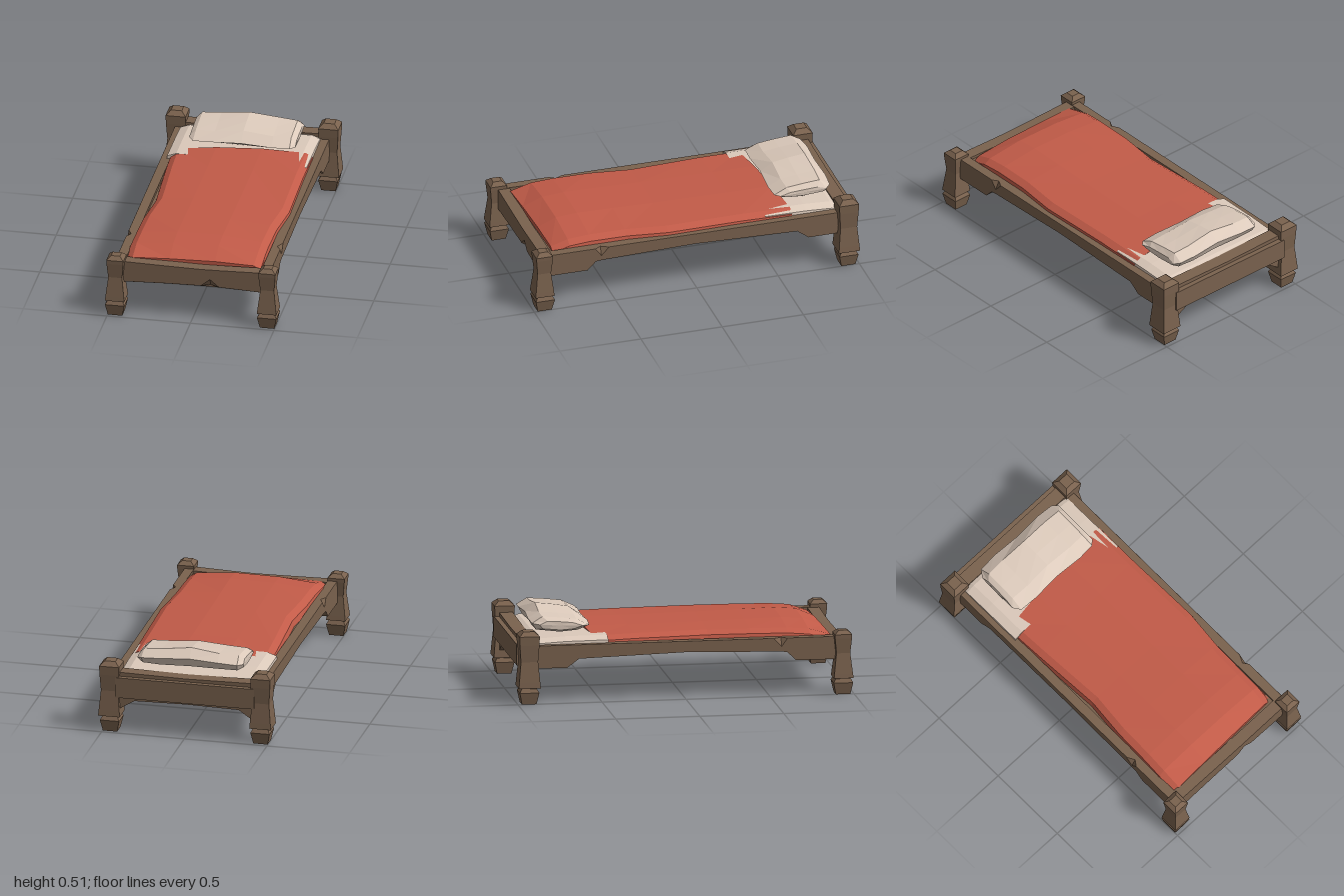
import * as THREE from 'three';

const wood = new THREE.MeshStandardMaterial({ color: 0x7a624e });
wood.name = 'brown wood';
const red = new THREE.MeshStandardMaterial({ color: 0xc25b48 });
red.name = 'red cloth';
const cream = new THREE.MeshStandardMaterial({ color: 0xdccabb });
cream.name = 'cream linen';

// Faceted solid through a list of equal-length rings of [x, y, z], capped at both ends
function loft(name, material, rings) {
  const n = rings[0].length;
  const tris = [];
  for (let i = 0; i < rings.length - 1; i++) {
    for (let j = 0; j < n; j++) {
      const k = (j + 1) % n;
      const [a, b, c, d] = [rings[i][j], rings[i][k], rings[i + 1][k], rings[i + 1][j]];
      tris.push([a, b, c], [a, c, d]);
    }
  }
  const cap = (ring, flip) => {
    const mid = [0, 1, 2].map((q) => ring.reduce((s, p) => s + p[q], 0) / n);
    for (let j = 0; j < n; j++) {
      const k = (j + 1) % n;
      tris.push(flip ? [mid, ring[k], ring[j]] : [mid, ring[j], ring[k]]);
    }
  };
  cap(rings[0], true);
  cap(rings[rings.length - 1], false);
  // Turn the whole solid outward if its signed volume is negative
  const vec = (p) => new THREE.Vector3(...p);
  const volume = tris.reduce((s, [a, b, c]) => s + vec(a).dot(vec(b).cross(vec(c))), 0);
  if (volume < 0) tris.forEach((t) => t.reverse());
  const geometry = new THREE.BufferGeometry();
  geometry.setAttribute('position', new THREE.Float32BufferAttribute(tris.flat(2), 3));
  geometry.computeVertexNormals();
  const mesh = new THREE.Mesh(geometry, material);
  mesh.name = name;
  return mesh;
}

// Square turned piece from [half width, y] steps
function squarePiece(name, x, z, steps) {
  return loft(name, wood, steps.map(([h, y]) => [
    [x - h, y, z - h], [x + h, y, z - h], [x + h, y, z + h], [x - h, y, z + h],
  ]));
}

function box(name, material, x0, x1, y0, y1, z0, z1) {
  const g = new THREE.BoxGeometry(x1 - x0, y1 - y0, z1 - z0);
  const mesh = new THREE.Mesh(g, material);
  mesh.position.set((x0 + x1) / 2, (y0 + y1) / 2, (z0 + z1) / 2);
  mesh.name = name;
  return mesh;
}

export function createModel() {
  const bed = new THREE.Group();
  bed.name = 'bed';

  // Posts with pyramid caps, standing on flared feet
  const foot = [[0.043, 0.005], [0.058, 0.075], [0.045, 0.098], [0.03, 0.105]];
  const frontPost = [[0.058, 0.102], [0.055, 0.13], [0.041, 0.25], [0.05, 0.34], [0.051, 0.363], [0.026, 0.385]];
  const backPost = [[0.065, 0.104], [0.062, 0.14], [0.051, 0.26], [0.058, 0.36], [0.06, 0.413], [0.032, 0.439]];
  for (const s of [-1, 1]) {
    bed.add(squarePiece('frontPost', s * 0.455, 0.937, frontPost));
    bed.add(squarePiece('frontFoot', s * 0.455, 0.935, foot));
    bed.add(squarePiece('backPost', s * 0.457, -0.933, backPost));
    bed.add(squarePiece('backFoot', s * 0.455, -0.933, foot));
  }

  // Side rails and base share one arched underside: [z, bottom y, top chip]
  const arch = [[-0.9, 0.21, 0], [-0.7, 0.21, 0], [-0.63, 0.262, 0], [0, 0.28, 0], [0.53, 0.266, 0],
    [0.575, 0.265, 0.03], [0.61, 0.26, 0], [0.66, 0.21, 0], [0.91, 0.21, 0]];
  for (const s of [-1, 1]) {
    bed.add(loft('sideRail', wood, arch.map(([z, y, chip]) => [
      [s * 0.405, y, z], [s * 0.462, y, z], [s * 0.462, 0.343 - 1.6 * chip, z],
      [s * (0.461 - 0.8 * chip), 0.345, z], [s * 0.405, 0.345, z],
    ])));
  }
  bed.add(loft('bedBase', wood, arch.map(([z, y]) => [
    [-0.41, y + 0.001, z], [0.41, y + 0.001, z], [0.41, 0.325, z], [-0.41, 0.325, z],
  ])));

  // Foot rail with a chipped lower edge: [x, bottom y, top y, chip]
  const footRail = [[-0.44, 0.21, 0.342, 0], [-0.15, 0.222, 0.336, 0], [0.05, 0.226, 0.333, 0],
    [0.105, 0.226, 0.334, 0.045], [0.16, 0.225, 0.335, 0], [0.44, 0.214, 0.343, 0]];
  bed.add(loft('footRail', wood, footRail.map(([x, y, top, chip]) => [
    [x, top, 0.87], [x, top, 0.94], [x, y + 0.001 + chip, 0.94], [x, y, 0.939 - chip * 0.6], [x, y, 0.87],
  ])));

  // Headboard with corner brackets, and a lower plank on its back
  const head = new THREE.Shape([[-0.42, 0.14], [-0.4, 0.148], [-0.32, 0.202], [0, 0.208], [0.31, 0.202],
    [0.4, 0.148], [0.42, 0.14], [0.42, 0.375], [0, 0.368], [-0.42, 0.375]].map((p) => new THREE.Vector2(...p)));
  const headboard = new THREE.Mesh(new THREE.ExtrudeGeometry(head, { depth: 0.08, bevelEnabled: false }), wood);
  headboard.position.z = -0.965;
  headboard.name = 'headboard';
  bed.add(headboard, box('headboardPlank', wood, -0.42, 0.42, 0.225, 0.35, -0.995, -0.96));

  // Mattress showing at the head end
  bed.add(loft('mattress', cream, [[-0.892, 0.36], [-0.86, 0.372], [-0.7, 0.38], [-0.45, 0.382]].map(([z, y]) => [
    [-0.43, 0.31, z], [-0.425, y - 0.02, z], [-0.37, y, z], [0, y + 0.004, z],
    [0.36, y, z], [0.41, y - 0.02, z], [0.42, 0.31, z],
  ])));

  // Blanket: [z, skew, left x, right x, shoulder y, middle y]
  const blanket = [
    [-0.57, -0.1, -0.42, 0.425, 0.378, 0.394], [-0.3, -0.04, -0.41, 0.425, 0.384, 0.393],
    [0.15, 0, -0.385, 0.435, 0.386, 0.398], [0.4, 0, -0.41, 0.41, 0.39, 0.404],
    [0.62, 0, -0.415, 0.405, 0.388, 0.408], [0.75, 0, -0.42, 0.405, 0.378, 0.398],
    [0.865, -0.03, -0.42, 0.4, 0.343, 0.35],
  ];
  bed.add(loft('blanket', red, blanket.map(([z, skew, l, r, edge, mid]) => [
    [l, 0.32, z + skew * l], [l + 0.012, edge - 0.025, z + skew * l], [l + 0.05, edge, z + skew * l],
    [-0.15, mid, z - skew * 0.15], [0.12, mid + 0.003, z + skew * 0.12],
    [r - 0.05, edge, z + skew * r], [r - 0.01, edge - 0.025, z + skew * r], [r, 0.32, z + skew * r],
  ])));

  // Pillow: one [z, y] cross-section, scaled along x by [x, depth, height, lift]
  const section = [[0.18, 0.432], [0.1, 0.474], [0, 0.49], [-0.11, 0.502], [-0.175, 0.458],
    [-0.15, 0.405], [0, 0.38], [0.11, 0.392]];
  const pillow = [[-0.315, 0.72, 0.45, 0.005], [-0.285, 0.96, 0.72, 0], [-0.17, 1, 0.83, 0.004],
    [0, 0.94, 1, 0.004], [0.18, 1, 0.87, 0], [0.285, 0.96, 0.7, 0], [0.315, 0.8, 0.35, 0.005]];
  bed.add(loft('pillow', cream, pillow.map(([x, d, h, lift], i) => section.map(([z, y], j) => [
    x + (j === 0 || j === 4 ? Math.sign(x) * 0.004 : 0),
    0.42 + (y - 0.42) * h + lift + (i % 2 && j > 0 && j < 4 ? 0.006 : 0),
    -0.715 + z * d,
  ]))));

  return bed;
}
